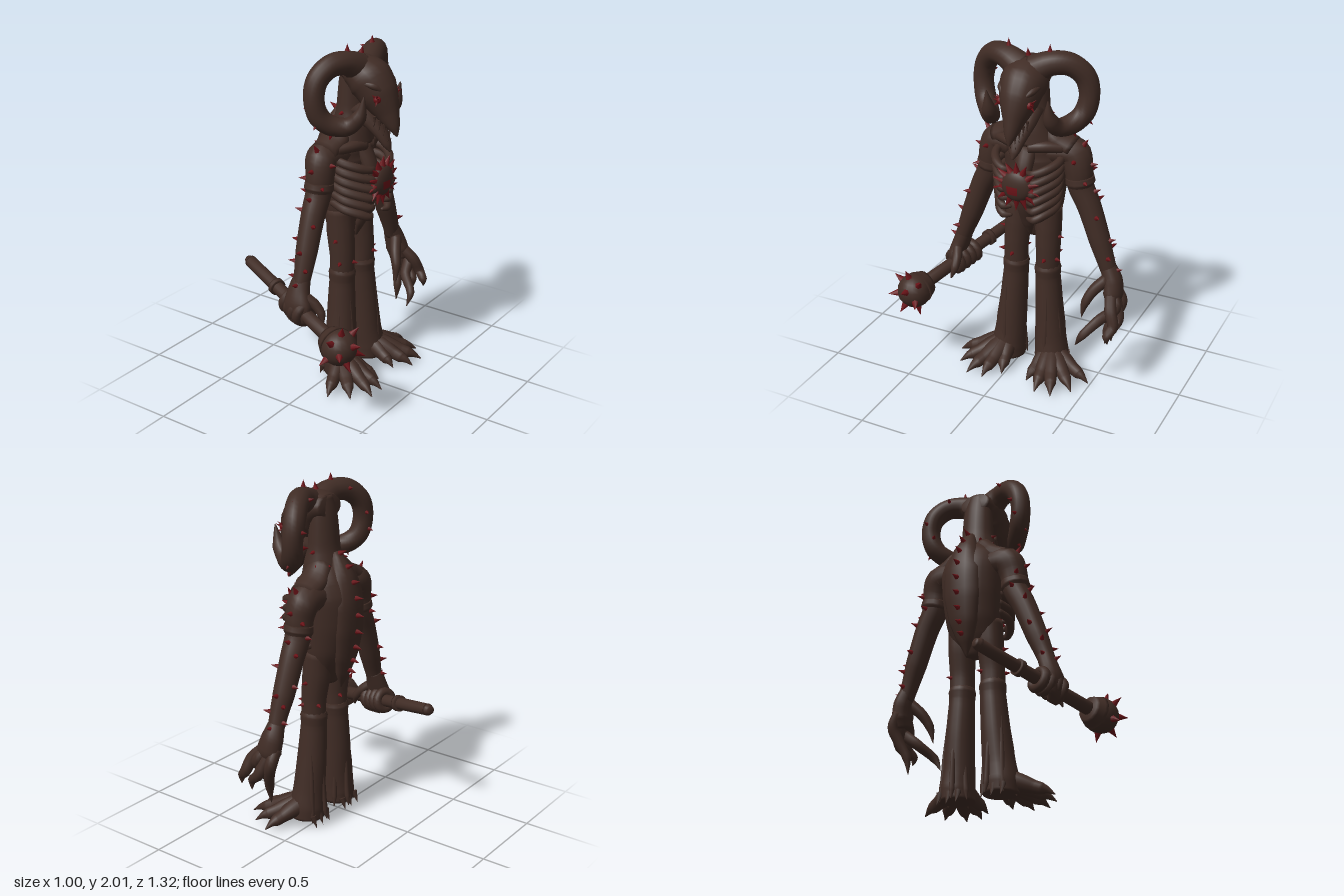
import * as THREE from 'three';

const V = (x, y, z) => new THREE.Vector3(x, y, z);
const X = V(1, 0, 0), Y = V(0, 1, 0);

export function createModel() {
  const hide = new THREE.MeshStandardMaterial({ color: 0x402c25 });
  hide.name = 'darkHide';
  const red = new THREE.MeshStandardMaterial({ color: 0x6c1318 });
  red.name = 'bloodRed';

  const root = new THREE.Group();
  root.name = 'hornedBeast';
  const body = new THREE.Group();
  body.name = 'body';
  body.position.z = -0.08;
  root.add(body);

  const add = (parent, name, geo, mat = hide) => {
    const m = new THREE.Mesh(geo, mat);
    m.name = name;
    parent.add(m);
    return m;
  };

  // Tapered sweep through [x, y, z, radius, sideRadius]; returns a surface lookup
  function sweep(parent, name, pts, { ref = X, sides = 14, steps = 5 } = {}) {
    const curve = new THREE.CatmullRomCurve3(pts.map(p => V(p[0], p[1], p[2])), false, 'centripetal');
    const last = pts.length - 1, rows = last * steps;
    const frame = t => {
      const i = Math.min(Math.floor(t * last), last - 1), f = t * last - i;
      const rad = k => THREE.MathUtils.lerp(pts[i][k] ?? pts[i][3], pts[i + 1][k] ?? pts[i + 1][3], f);
      const T = curve.getTangent(t);
      const N = ref.clone().addScaledVector(T, -ref.dot(T)).normalize();
      return { c: curve.getPoint(t), N, B: T.clone().cross(N), a: rad(3), b: rad(4) };
    };
    const at = (t, ang) => {
      const { c, N, B, a, b } = frame(t), co = Math.cos(ang), si = Math.sin(ang);
      return {
        p: c.addScaledVector(N, a * co).addScaledVector(B, b * si),
        n: N.multiplyScalar(co / a).addScaledVector(B, si / b).normalize(),
      };
    };
    const pos = [], idx = [];
    for (let i = 0; i <= rows; i++)
      for (let j = 0; j < sides; j++) pos.push(...at(i / rows, j / sides * Math.PI * 2).p.toArray());
    const end = (rows + 1) * sides;
    pos.push(...pts[0].slice(0, 3), ...pts[last].slice(0, 3));
    for (let j = 0; j < sides; j++) {
      const k = (j + 1) % sides;
      for (let i = 0; i < rows; i++) {
        const a = i * sides + j, b = i * sides + k;
        idx.push(a, b, a + sides, b, b + sides, a + sides);
      }
      idx.push(end, k, j, end + 1, rows * sides + j, rows * sides + k);
    }
    const geo = new THREE.BufferGeometry();
    geo.setAttribute('position', new THREE.Float32BufferAttribute(pos, 3));
    geo.setIndex(idx);
    geo.computeVertexNormals();
    add(parent, name, geo);
    return at;
  }

  function spike(parent, name, p, dir, len = 0.045, r = 0.016, mat = red) {
    const m = add(parent, name, new THREE.ConeGeometry(r, len, 6), mat);
    const d = dir.clone().normalize();
    m.quaternion.setFromUnitVectors(Y, d);
    m.position.copy(p).addScaledVector(d, len * 0.35);
  }
  const spikesOn = (at, name, list, len, r) => list.forEach(([t, ang]) => {
    const { p, n } = at(t, ang);
    spike(body, name, p, n, len, r);
  });

  // Torso, neck and spine
  sweep(body, 'torso', [
    [0, 0.84, 0, 0.04, 0.05], [0, 0.94, 0, 0.085, 0.14], [-0.01, 1.05, 0, 0.125, 0.165],
    [-0.02, 1.2, 0, 0.15, 0.18], [-0.02, 1.35, 0, 0.155, 0.19], [0, 1.43, 0, 0.135, 0.18],
    [0.03, 1.5, 0, 0.11, 0.125]], { sides: 24 });
  const neck = sweep(body, 'neck', [
    [0.03, 1.44, 0, 0.125, 0.15], [0.035, 1.52, 0, 0.11, 0.122], [0.035, 1.62, 0, 0.085, 0.1],
    [0.04, 1.8, 0, 0.07, 0.09], [0.055, 1.9, 0, 0.06, 0.08]], { sides: 20 });
  spikesOn(neck, 'neckSpike', [[0.3, 2.5], [0.36, -2.5], [0.47, 1.6], [0.47, -1.6], [0.3, 1.9], [0.3, -1.9]], 0.035, 0.013);
  const spine = sweep(body, 'spine', [
    [-0.04, 1.6, 0, 0.03], [-0.1, 1.47, 0, 0.055, 0.08], [-0.13, 1.33, 0, 0.06, 0.115],
    [-0.13, 1.17, 0, 0.06, 0.115], [-0.115, 1.02, 0, 0.05, 0.09], [-0.095, 0.91, 0, 0.035, 0.05], [-0.08, 0.82, 0, 0.004]]);
  spikesOn(spine, 'spineSpike', Array.from({ length: 9 }, (_, i) => [0.02 + i * 0.095, Math.PI]), 0.055, 0.018);
  sweep(body, 'breastbone', [[0.1, 1.41, 0, 0.04, 0.06], [0.16, 1.27, 0, 0.04, 0.05], [0.14, 1.08, 0, 0.035, 0.045],
    [0.09, 0.95, 0, 0.03, 0.04], [0.06, 0.86, 0, 0.008]]);

  // Heart disc with a ring of thorns
  const heart = add(body, 'heart', new THREE.SphereGeometry(0.09, 24, 16));
  heart.scale.set(0.45, 1, 1);
  heart.position.set(0.235, 1.23, 0);
  const patch = add(body, 'heartWound', new THREE.SphereGeometry(0.092, 12, 8, Math.PI - 0.5, 0.75, 1.5, 0.55), red);
  patch.scale.copy(heart.scale);
  patch.position.copy(heart.position);
  for (let i = 0; i < 14; i++) {
    const a = i / 14 * Math.PI * 2, d = V(0.15, Math.cos(a), Math.sin(a));
    spike(body, 'heartThorn', V(0.235, 1.23 + d.y * 0.088, d.z * 0.088), d, 0.07, 0.022);
  }

  // Skull, with the muzzle hooking down, and open lower jaw
  sweep(body, 'skull', [
    [-0.01, 1.85, 0, 0.06, 0.09], [0.07, 1.84, 0, 0.095, 0.125], [0.15, 1.79, 0, 0.125, 0.128], [0.21, 1.71, 0, 0.11, 0.105],
    [0.265, 1.62, 0, 0.07, 0.06], [0.305, 1.55, 0, 0.035, 0.033], [0.325, 1.5, 0, 0.006]], { sides: 20 });
  sweep(body, 'lowerJaw', [
    [0.09, 1.64, 0, 0.06, 0.09], [0.16, 1.57, 0, 0.048, 0.075], [0.225, 1.5, 0, 0.034, 0.05], [0.265, 1.44, 0, 0.022, 0.03],
    [0.285, 1.405, 0, 0.006]]);
  spike(body, 'crownSpike', V(0.09, 1.93, 0), V(0.2, 1, 0), 0.05, 0.018);

  for (const s of [1, -1]) {
    const side = s > 0 ? 'left' : 'right';
    const flip = pts => pts.map(([x, y, z, ...r]) => [x, y, z * s, ...r]);
    const part = (name, pts, opt) => sweep(body, side + name, flip(pts), opt);

    // Teeth and eyes
    for (let i = 0; i < 4; i++) {
      spike(body, 'upperTooth', V(0.215 + i * 0.025, 1.6 - i * 0.02, s * (0.055 - i * 0.012)), V(0, -1, 0), 0.055, 0.01, hide);
      spike(body, 'lowerTooth', V(0.2 + i * 0.021, 1.54 - i * 0.032, s * (0.05 - i * 0.012)), V(0.5, 1, 0), 0.05, 0.009, hide);
    }
    part('Brow', [[0.16, 1.8, 0.11, 0.012], [0.23, 1.785, 0.09, 0.02], [0.28, 1.74, 0.04, 0.01]], { ref: Y });
    const eye = add(body, side + 'Eye', new THREE.SphereGeometry(0.022, 12, 8), red);
    eye.position.set(0.25, 1.715, s * 0.085);
    [[0.9, 0.5], [0.5, 1], [-0.4, 0.9], [0.3, -0.8]].forEach(([dx, dy]) => spike(body, 'eyeThorn', eye.position, V(dx, dy, s * 0.9), 0.055, 0.015));

    // Curled ram horn
    const horn = part('Horn', [
      [0.1, 1.85, 0.03, 0.085], [0.08, 1.9, 0.13, 0.066], [0.04, 1.895, 0.22, 0.062], [0.005, 1.83, 0.29, 0.06],
      [0, 1.73, 0.315, 0.057], [0.02, 1.63, 0.295, 0.058], [0.07, 1.58, 0.25, 0.056], [0.14, 1.575, 0.2, 0.05],
      [0.2, 1.635, 0.18, 0.04], [0.23, 1.75, 0.18, 0.003]], { ref: V(0.8, -0.2, 0.3 * s).normalize() });
    spikesOn(horn, 'hornSpike', [[0.2, Math.PI], [0.4, 3.4], [0.5, 2.8]], 0.035, 0.013);
    spike(body, 'hornTopSpike', V(0.08, 1.96, s * 0.12), Y, 0.05, 0.018);
    for (const [x, y, z] of [[0.02, 1.9, 0.275], [0.02, 1.59, 0.325], [0.07, 1.53, 0.26]])
      spike(body, 'hornEdgeSpike', V(x, y, z * s), V(0, y - 1.73, (z - 0.17) * s), 0.035, 0.014);

    // Ribs
    for (let i = 0; i < 6; i++) {
      const y = 1.355 - i * 0.056, w = 0.19 - i * 0.004, f = 0.235 - Math.abs(i - 2) * 0.008;
      part('Rib', [[0, y + 0.02, w - 0.02, 0.022], [0.1, y, w, 0.024], [0.18, y - 0.025, w - 0.04, 0.025],
        [f, y - 0.045, 0.09, 0.022], [f - 0.01, y - 0.045, 0.045, 0.008]], { ref: Y, sides: 10 });
    }

    // Sloping shoulder muscle and collarbone
    part('Trapezius', [[0.01, 1.54, 0.06, 0.07, 0.05], [0.005, 1.46, 0.13, 0.09, 0.06], [0, 1.41, 0.23, 0.08, 0.06]]);
    part('Collarbone', [[0.13, 1.42, 0.02, 0.03], [0.11, 1.43, 0.1, 0.032], [0.05, 1.42, 0.2, 0.03]], { ref: Y });

    // Arm with cuff, thorns mostly along its outer face
    const arm = part('Arm', [
      [0, 1.38, 0.1, 0.1, 0.08], [-0.01, 1.375, 0.23, 0.09], [0, 1.3, 0.262, 0.082], [0, 1.2, 0.275, 0.074],
      [0, 1.08, 0.33, 0.068], [0.005, 0.89, 0.4, 0.062], [0.01, 0.78, 0.44, 0.052], [0.01, 0.68, 0.475, 0.045]]);
    part('ArmCuff', [[0, 1.25, 0.27, 0.08], [0, 1.215, 0.275, 0.084], [0, 1.19, 0.28, 0.07]]);
    spikesOn(arm, 'armSpike', Array.from({ length: 13 }, (_, i) => [0.27 + i * 0.058, s * (1.57 + [0, 0.9, -0.8, 1.4][i % 4])]), 0.046, 0.016);
    spikesOn(arm, 'shoulderFrontSpike', [[0.22, s * 0.2]], 0.046, 0.016);
    spike(body, 'shoulderSpike', V(0, 1.435, s * 0.29), V(0, 1, s * 0.7), 0.055, 0.018);

    // Leg with knee band, flaring into the foot
    const thigh = part('Thigh', [
      [0.01, 1.04, 0.09, 0.08], [0.02, 0.9, 0.095, 0.083, 0.076], [0.035, 0.75, 0.1, 0.073, 0.07], [0.035, 0.62, 0.1, 0.07]]);
    spikesOn(thigh, 'thighSpike', [[0.42, s * 1.4], [0.72, s * 1.2], [0.72, -0.1], [0.7, -2.6]], 0.04, 0.014);
    part('Shin', [[0.035, 0.68, 0.098, 0.07], [0.035, 0.655, 0.1, 0.08, 0.077], [0.035, 0.6, 0.102, 0.075, 0.072],
      [0.04, 0.4, 0.115, 0.087, 0.08], [0.05, 0.2, 0.13, 0.093, 0.092], [0.055, 0.1, 0.14, 0.105, 0.1],
      [0.055, 0.03, 0.14, 0.1, 0.1]], { sides: 18 });
    // Shin folds
    for (const [a, h] of [[0, 0.5], [1.2, 0.42], [2.3, 0.48], [3.4, 0.4], [4.3, 0.5]]) {
      const at = (r, y) => [0.045 + Math.cos(a) * r, y, 0.13 + Math.sin(a) * r * 0.85];
      part('ShinFold', [[...at(0.068, h), 0.004], [...at(0.082, 0.28), 0.014], [...at(0.097, 0.08), 0.016], [...at(0.11, 0.02), 0.003]], { sides: 8 });
    }
    // Toes end in claws
    for (const [tx, tz] of [[0.28, 0.08], [0.36, 0.17], [0.36, 0.27], [0.27, 0.36], [0.15, 0.415]]) {
      const mix = (f, y, r) => [0.06 + (tx - 0.06) * f, y, 0.14 + (tz - 0.14) * f, r];
      part('Toe', [mix(0, 0.12, 0.065), mix(0.35, 0.09, 0.052), mix(0.6, 0.064, 0.038), mix(0.75, 0.05, 0.034),
        mix(0.84, 0.042, 0.022), mix(1, 0.014, 0.002)], { ref: Y, sides: 10 });
    }
    for (const z of [0.08, 0.14, 0.2])
      spike(body, 'heelClaw', V(-0.035, 0.055, z * s), V(-0.4, -1, 0), 0.075, 0.02, hide);
  }

  // Right hand: long hooked claws, spread front to back
  sweep(body, 'rightPalm', [[0.01, 0.74, -0.455, 0.045], [0.015, 0.66, -0.49, 0.065, 0.055], [0.03, 0.58, -0.505, 0.075, 0.055], [0.04, 0.52, -0.5, 0.055, 0.035]]);
  const tips = [[0.05, 0.245, -0.47, -0.07], [0.13, 0.33, -0.54, -0.02], [0.2, 0.29, -0.35, 0.03], [0.2, 0.35, -0.545, 0.07]];
  tips.forEach(([x, y, z, kx], i) => sweep(body, 'rightFinger', [
    [0.02 + kx * 0.5, 0.6, -0.5, 0.033], [0.06 + kx, 0.52, -0.54 + i % 2 * 0.01, 0.035], [0.09 + kx, 0.44, z * 0.5 - 0.285, 0.031],
    [x, (y + 0.44) / 2, z * 0.75 - 0.13, 0.025], [x, y, z, 0.002]], { sides: 10 }));
  sweep(body, 'rightThumb', [[0.04, 0.67, -0.47, 0.035], [0.08, 0.6, -0.405, 0.032], [0.11, 0.53, -0.37, 0.026], [0.12, 0.43, -0.35, 0.002]]);

  // Spiked mace
  const mace = new THREE.Group();
  mace.name = 'mace';
  root.add(mace);
  const butt = V(-0.47, 0.67, 0.235), top = V(0.36, 0.488, 0.52);
  const dir = top.clone().sub(butt).normalize();
  const along = t => butt.clone().lerp(top, t);
  const seg = (name, t0, t1, r0, r1 = r0) => sweep(mace, name,
    [[...along(t0).toArray(), r0], [...along((t0 + t1) / 2).toArray(), (r0 + r1) / 2], [...along(t1).toArray(), r1]], { ref: Y, steps: 2 });
  seg('maceShaft', 0, 0.95, 0.034, 0.04);
  seg('maceButt', -0.025, 0.01, 0.022, 0.036);
  seg('maceCollar', 0.3, 0.335, 0.048);
  seg('maceNeck', 0.89, 0.96, 0.07, 0.098);
  add(mace, 'maceHead', new THREE.SphereGeometry(0.1, 16, 12)).position.copy(top);
  for (let i = 0; i < 16; i++) {
    const a = i * 2.4 + 0.6, k = 1 - 2 * (i + 0.5) / 16, q = Math.sqrt(1 - k * k);
    const d = V(Math.cos(a) * q, k, Math.sin(a) * q);
    if (d.dot(dir) > -0.2) spike(mace, 'maceSpike', top.clone().addScaledVector(d, 0.094), d, 0.07, 0.025);
  }

  // Left hand gripping the shaft
  const fist = new THREE.Group();
  fist.name = 'leftFist';
  root.add(fist);
  sweep(fist, 'leftPalm', [[0.01, 0.76, 0.365, 0.047], [0.005, 0.68, 0.395, 0.065, 0.05], [0.01, 0.6, 0.42, 0.088, 0.05], [0.02, 0.52, 0.42, 0.08, 0.04], [0.02, 0.475, 0.395, 0.04, 0.02]]);
  for (let i = 0; i < 4; i++) {
    const f = add(fist, 'leftFinger', new THREE.TorusGeometry(0.052, 0.027, 10, 20));
    f.quaternion.setFromUnitVectors(V(0, 0, 1), dir);
    f.position.copy(along(0.48 + i * 0.05));
  }
  sweep(fist, 'leftThumb', [[0.05, 0.65, 0.4, 0.03], [0.1, 0.61, 0.38, 0.028], [0.14, 0.56, 0.375, 0.024], [0.16, 0.5, 0.39, 0.005]]);
  return root;
}
